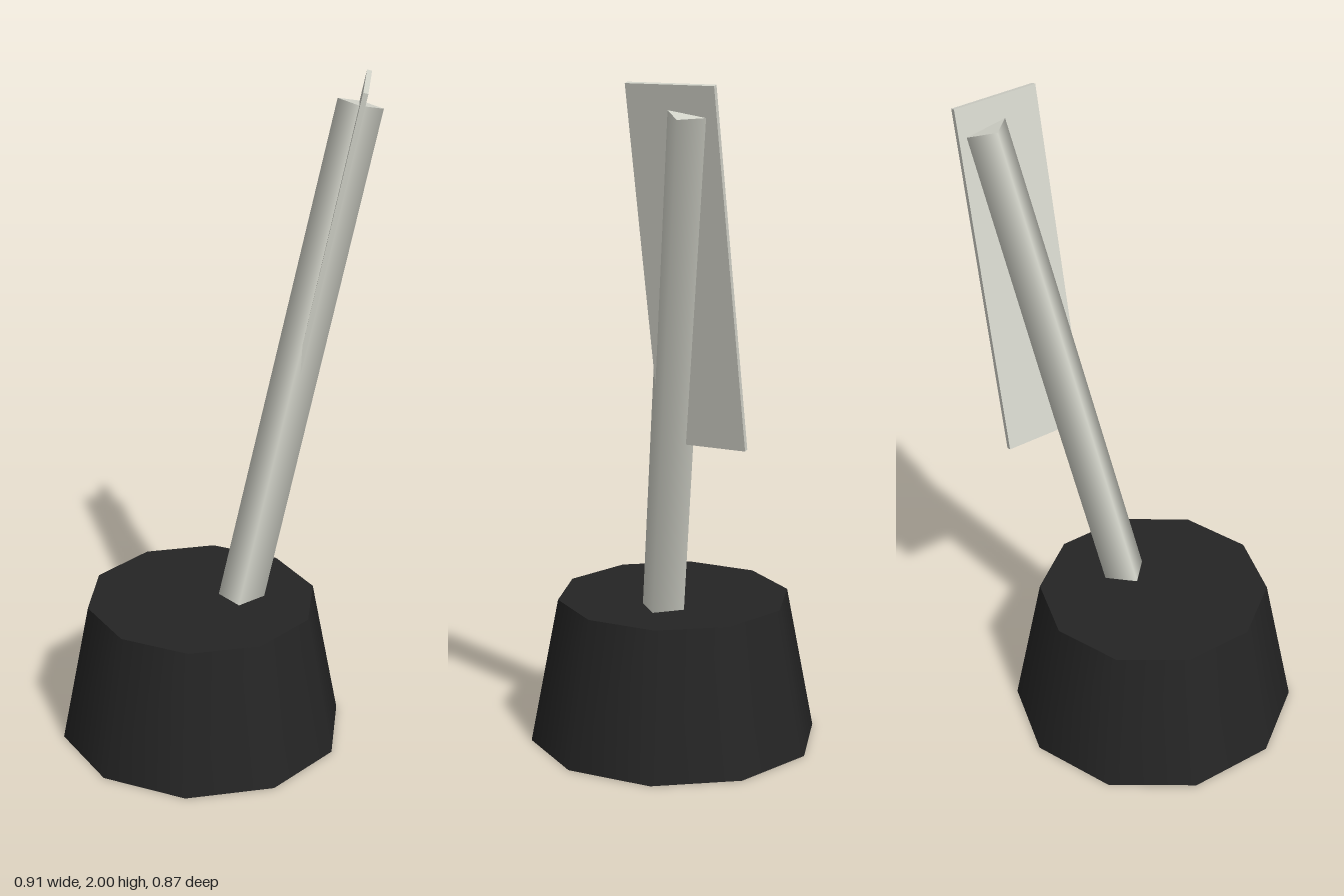
import * as THREE from 'three';

export function createModel() {
  const model = new THREE.Group();
  const black = new THREE.MeshStandardMaterial({ color: 0x252525 });
  black.name = 'black';
  const paleGrey = new THREE.MeshStandardMaterial({ color: 0xd4d5cb });
  paleGrey.name = 'paleGrey';

  const add = (name, geometry, material) => {
    const mesh = new THREE.Mesh(geometry, material);
    mesh.name = name;
    model.add(mesh);
    return mesh;
  };

  // Ten-sided tapered base
  const base = add('base', new THREE.CylinderGeometry(0.35, 0.435, 0.44, 10), black);
  base.position.set(-0.045, 0.22, 0);

  // Four-sided leaning pole, its foot sunk slightly into the base
  const top = new THREE.Vector3(0.388, 1.923, -0.262);
  const foot = new THREE.Vector3(0.0645, 0.39, -0.019);
  const axis = top.clone().sub(foot);
  const pole = add('pole', new THREE.CylinderGeometry(0.068, 0.068, axis.length(), 4), paleGrey);
  pole.position.copy(foot).add(top).multiplyScalar(0.5);
  pole.quaternion.setFromUnitVectors(new THREE.Vector3(0, 1, 0), axis.normalize());

  // Thin blade passing through the upper pole
  const blade = add('blade', new THREE.BoxGeometry(0.015, 1.043, 0.263), paleGrey);
  blade.position.set(0.3025, 1.4875, -0.218);
  blade.rotation.z = -0.203;

  return model;
}
